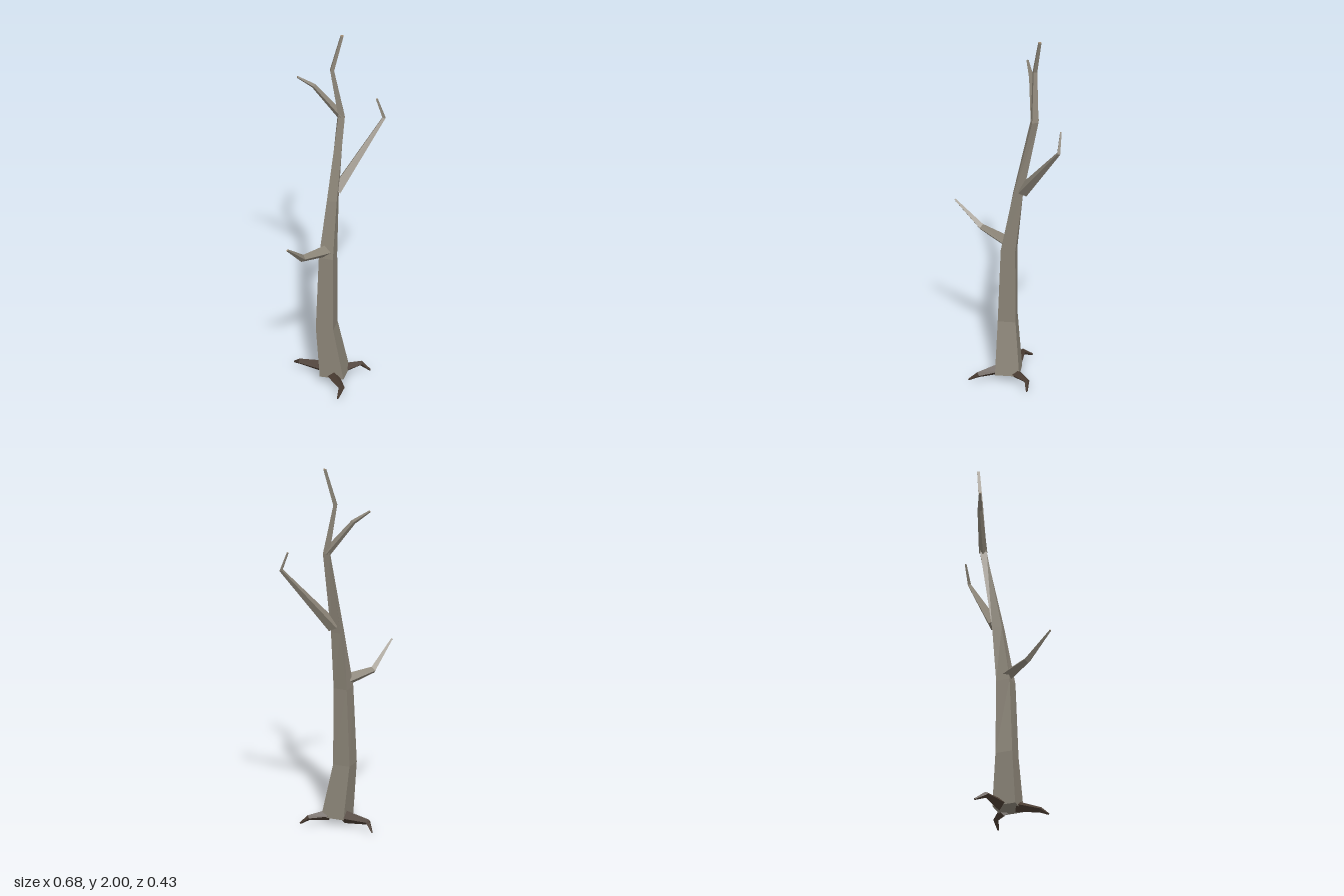
import * as THREE from 'three';

const mat = (name, color) => {
  const m = new THREE.MeshStandardMaterial({ color, flatShading: true });
  m.name = name;
  return m;
};

// Skin four-cornered rings into a closed limb; the tip cap is its own group
function limb(name, rings, side, tip) {
  const pos = [];
  const tri = (...pts) => pts.forEach((p) => pos.push(p.x, p.y, p.z));
  const quad = (a, b, c, d) => { tri(a, b, c); tri(a, c, d); };
  for (let k = 0; k < rings.length - 1; k++) {
    for (let i = 0; i < 4; i++) {
      const j = (i + 1) % 4;
      quad(rings[k][i], rings[k][j], rings[k + 1][j], rings[k + 1][i]);
    }
  }
  const s = rings[0], e = rings[rings.length - 1];
  quad(s[3], s[2], s[1], s[0]);
  const sideCount = pos.length / 3;
  quad(e[0], e[1], e[2], e[3]);
  const g = new THREE.BufferGeometry();
  g.setAttribute('position', new THREE.Float32BufferAttribute(pos, 3));
  g.addGroup(0, sideCount, 0);
  g.addGroup(sideCount, 6, 1);
  g.computeVertexNormals();
  const mesh = new THREE.Mesh(g, [side, tip]);
  mesh.name = name;
  return mesh;
}

// Level rings for the trunk: [x, y, z, radius, twist]
const levelRing = ([x, y, z, r, twist]) => [0, 1, 2, 3].map((i) => {
  const a = twist + i * Math.PI / 2;
  return new THREE.Vector3(x + r * Math.sin(a), y, z + r * Math.cos(a));
});

// Diamond rings set across the path, ridge upward: [x, y, z, radius]
function pathRings(path) {
  const p = path.map(([x, y, z]) => new THREE.Vector3(x, y, z));
  const last = p.length - 1;
  const side = p[last].clone().sub(p[0]).cross(new THREE.Vector3(0, 1, 0)).normalize();
  return p.map((c, k) => {
    const before = p[k].clone().sub(p[Math.max(k - 1, 0)]).normalize();
    const after = p[Math.min(k + 1, last)].clone().sub(p[k]).normalize();
    const up = side.clone().cross(before.add(after)).normalize();
    const r = path[k][3];
    return [[up, r], [side, r], [up, -r], [side, -r]].map(([v, d]) => c.clone().addScaledVector(v, d));
  });
}

export function createModel() {
  const tree = new THREE.Group();
  tree.name = 'bareTree';
  const bark = mat('bark', 0x8a8376);
  const rootBark = mat('rootBark', 0x4a3c32);
  const cutWood = mat('cutWood', 0xa38c70);

  // Trunk, tapering and leaning back
  const trunk = [
    [-0.006, 0.04, 0.018, 0.09, 0.05],
    [-0.042, 0.33, -0.002, 0.066, 0.05],
    [-0.033, 0.75, -0.005, 0.054, 0],
    [0.008, 1.07, -0.03, 0.037, 0.1],
    [0.086, 1.53, -0.083, 0.024, 0.4],
    [0.047, 1.8, -0.113, 0.014, 0.4],
    [0.102, 2.0, -0.105, 0.01, 0.4],
  ];
  tree.add(limb('trunk', trunk.map(levelRing), bark, cutWood));

  // Branches
  const branches = {
    lowerBranch: [[-0.04, 0.785, 0, 0.036], [-0.21, 0.81, 0.045, 0.02], [-0.34, 0.94, 0.124, 0.006]],
    middleBranch: [[0.035, 1.105, -0.043, 0.034], [0.328, 1.455, -0.066, 0.011], [0.302, 1.56, -0.098, 0.006]],
    upperBranch: [[0.085, 1.53, -0.085, 0.022], [-0.04, 1.71, -0.152, 0.013], [-0.12, 1.77, -0.183, 0.006]],
  };
  for (const [name, path] of Object.entries(branches)) tree.add(limb(name, pathRings(path), bark, cutWood));

  // Roots, spreading flat and dipping at the tips
  const roots = {
    backRoot: [[-0.03, 0.048, -0.04, 0.036], [-0.12, 0.045, -0.15, 0.016], [-0.121, 0.008, -0.214, 0.005]],
    leftRoot: [[0.04, 0.048, 0.015, 0.03], [0.152, 0.045, 0.012, 0.014], [0.19, 0.008, 0.04, 0.005]],
    frontRoot: [[-0.035, 0.048, 0.05, 0.032], [-0.05, 0.045, 0.18, 0.016], [-0.09, 0.008, 0.213, 0.005]],
  };
  for (const [name, path] of Object.entries(roots)) tree.add(limb(name, pathRings(path), rootBark, rootBark));

  return tree;
}
